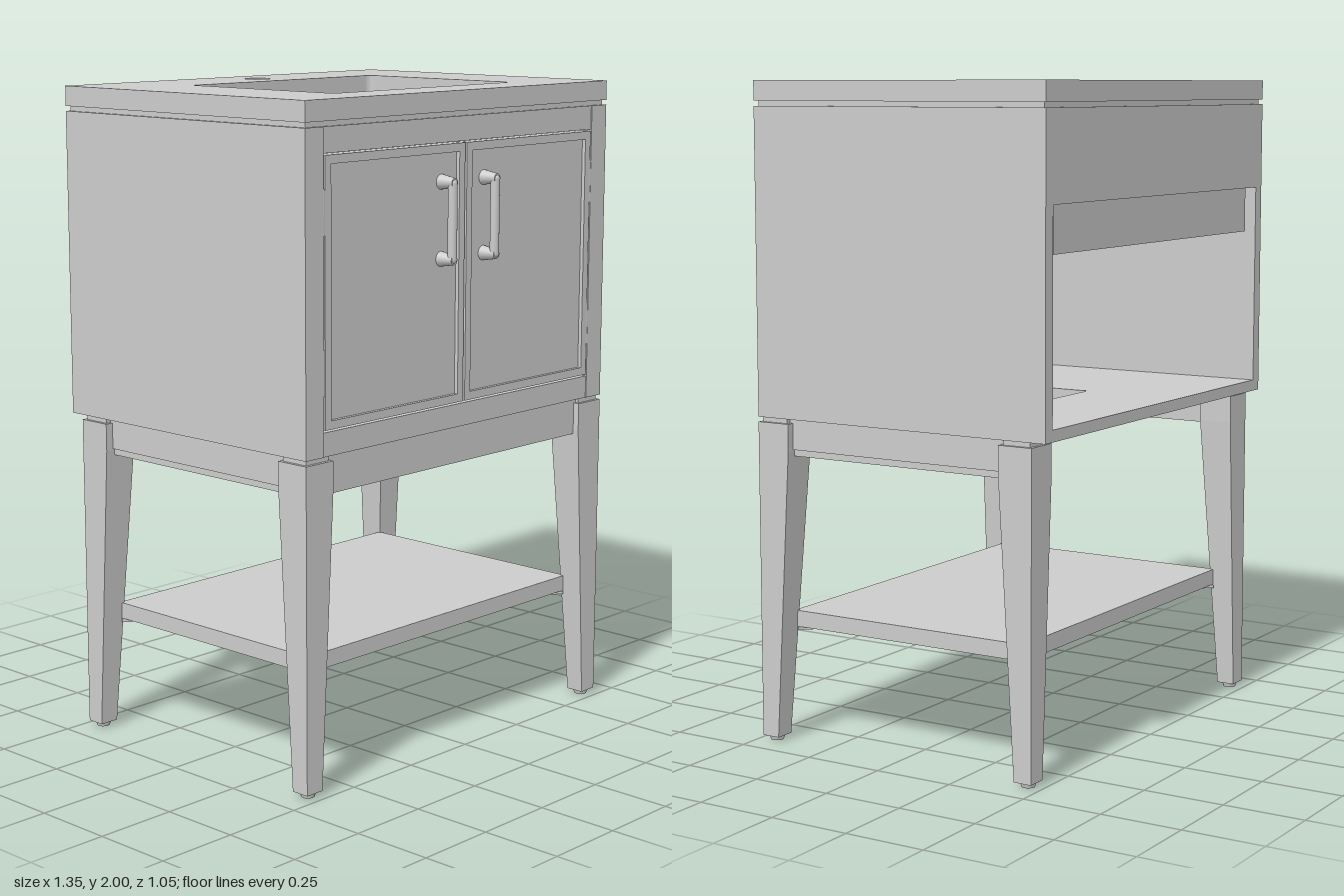
import * as THREE from 'three';
import { toCreasedNormals } from 'three/addons/utils/BufferGeometryUtils.js';

const grey = new THREE.MeshStandardMaterial({ color: 0xcccccc });

export function createModel() {
  const model = new THREE.Group();

  const add = (name, geometry, parent = model) => {
    const mesh = new THREE.Mesh(geometry, grey);
    mesh.name = name;
    parent.add(mesh);
    return mesh;
  };
  // Box given by its limits on each axis
  const box = (name, x0, x1, y0, y1, z0, z1, parent) => {
    const mesh = add(name, new THREE.BoxGeometry(x1 - x0, y1 - y0, z1 - z0), parent);
    mesh.position.set((x0 + x1) / 2, (y0 + y1) / 2, (z0 + z1) / 2);
    return mesh;
  };
  const rect = (x0, x1, y0, y1, Type = THREE.Path) => new Type([
    [x0, y0], [x1, y0], [x1, y1], [x0, y1], [x0, y0],
  ].map(([x, y]) => new THREE.Vector2(x, y)));
  // Horizontal board with openings; openings use (x, -z)
  const slab = (name, x, z0, z1, y0, y1, holes) => {
    const shape = rect(-x, x, -z1, -z0, THREE.Shape);
    shape.holes.push(...holes);
    const g = new THREE.ExtrudeGeometry(shape, { depth: y1 - y0, bevelEnabled: false, curveSegments: 24 });
    g.rotateX(-Math.PI / 2).translate(0, y0, 0);
    return add(name, g);
  };

  // Rounded rectangle ring around the basin centre
  const cz = 0.025, arc = 8;
  const ringPoints = (hx, hz, r) => {
    const pts = [];
    for (let q = 0; q < 4; q++) {
      const sx = q === 0 || q === 3 ? 1 : -1, sz = q < 2 ? 1 : -1;
      for (let i = 0; i <= arc; i++) {
        const a = (q + i / arc) * Math.PI / 2;
        pts.push([sx * (hx - r) + r * Math.cos(a), cz + sz * (hz - r) + r * Math.sin(a)]);
      }
    }
    return pts;
  };

  // Countertop with basin and tap openings
  const opening = () => new THREE.Path(ringPoints(0.395, 0.295, 0.02).map(([x, z]) => new THREE.Vector2(x, -z)));
  const tap = () => new THREE.Path().absarc(0, 0.39, 0.04, 0, Math.PI * 2);
  slab('countertop', 0.675, -0.525, 0.48, 1.94, 2, [opening(), tap()]);
  slab('countertopBase', 0.665, -0.515, 0.47, 1.925, 1.94, [opening(), tap()]);

  // Basin: inner wall down to the drain, then outer wall back up [halfX, halfZ, corner, y]
  const rings = [
    [0.395, 0.295, 0.02, 1.94], [0.385, 0.285, 0.03, 1.83], [0.378, 0.278, 0.04, 1.805],
    [0.365, 0.265, 0.045, 1.788], [0.34, 0.24, 0.05, 1.78], [0.065, 0.065, 0.065, 1.765],
    [0.06, 0.06, 0.06, 1.745], [0.07, 0.07, 0.07, 1.735], [0.36, 0.26, 0.05, 1.745],
    [0.4, 0.3, 0.05, 1.78], [0.425, 0.325, 0.04, 1.925],
  ];
  const pos = [], index = [], n = 4 * (arc + 1);
  rings.forEach(([hx, hz, r, y], k) => {
    ringPoints(hx, hz, r).forEach(([x, z]) => pos.push(x, y, z));
    if (k === rings.length - 1) return;
    for (let j = 0; j < n; j++) {
      const a = k * n + j, b = k * n + (j + 1) % n;
      index.push(a, a + n, b, b, a + n, b + n);
    }
  });
  const bowl = new THREE.BufferGeometry();
  bowl.setAttribute('position', new THREE.Float32BufferAttribute(pos, 3));
  bowl.setIndex(index);
  add('basin', toCreasedNormals(bowl, 0.7));

  // Overflow ring on the front basin wall
  add('overflowRing', new THREE.TorusGeometry(0.022, 0.005, 8, 24)).position.set(0, 1.89, 0.314);

  // Drain: stopper, flange and stepped tail pipe
  const profile = [[0, 1.762], [0.04, 1.762], [0.044, 1.756], [0.044, 1.75], [0.06, 1.752], [0.062, 1.735],
    [0.09, 1.735], [0.085, 1.67], [0.065, 1.65], [0.065, 1.62], [0.08, 1.61], [0.08, 1.575],
    [0.06, 1.56], [0.06, 1.53], [0.038, 1.52], [0.038, 1.16], [0, 1.16]];
  const drain = new THREE.LatheGeometry(profile.map(([r, y]) => new THREE.Vector2(r, y)).reverse(), 32);
  add('drain', toCreasedNormals(drain, 0.5)).position.z = cz;

  // Cabinet carcass, open at the back
  for (const s of [-1, 1]) {
    box('sidePanel', Math.min(s * 0.635, s * 0.675), Math.max(s * 0.635, s * 0.675), 1, 1.925, -0.525, 0.44);
    box('frontStile', Math.min(s * 0.602, s * 0.675), Math.max(s * 0.602, s * 0.675), 1, 1.925, 0.44, 0.48);
  }
  box('topRail', -0.602, 0.602, 1.852, 1.925, 0.44, 0.477);
  box('bottomRail', -0.602, 0.602, 1, 1.07, 0.44, 0.477);
  slab('cabinetFloor', 0.635, -0.525, 0.44, 1, 1.035, [rect(-0.12, 0.12, -0.11, 0.2)]);
  box('backPanel', -0.635, 0.635, 1.66, 1.925, -0.525, -0.505);
  box('backRail', -0.6, 0.6, 1.52, 1.75, -0.505, -0.465);

  // Doors with framed panels, hinges and handles
  for (const s of [-1, 1]) {
    const door = new THREE.Group();
    door.name = s > 0 ? 'leftDoor' : 'rightDoor';
    model.add(door);
    const x0 = s > 0 ? 0.004 : -0.597, x1 = s > 0 ? 0.597 : -0.004, y0 = 1.076, y1 = 1.847, w = 0.025;
    const frame = rect(x0, x1, y0, y1, THREE.Shape);
    frame.holes.push(rect(x0 + w, x1 - w, y0 + w, y1 - w));
    add('doorFrame', new THREE.ExtrudeGeometry(frame, { depth: 0.04, bevelEnabled: false }), door).position.z = 0.44;
    box('doorPanel', x0 + w, x1 - w, y0 + w, y1 - w, 0.442, 0.468, door);
    for (const y of [1.24, 1.69]) {
      add('hinge', new THREE.CylinderGeometry(0.006, 0.006, 0.13, 12), door).position.set(s * 0.6, y, 0.474);
    }
    // Handle: bar, two posts and flared bases
    const hx = s * 0.096;
    add('handleBar', new THREE.CapsuleGeometry(0.014, 0.222, 6, 16), door).position.set(hx, 1.625, 0.512);
    for (const y of [1.512, 1.738]) {
      const post = add('handlePost', new THREE.CylinderGeometry(0.014, 0.023, 0.054, 20), door);
      post.rotation.x = Math.PI / 2;
      post.position.set(hx, y, 0.493);
    }
  }

  // Tapered legs: outer faces upright, inner faces slope below the apron
  for (const sx of [-1, 1]) for (const sz of [-1, 1]) {
    const leg = new THREE.Group();
    leg.name = (sz > 0 ? 'front' : 'back') + (sx > 0 ? 'Left' : 'Right') + 'Leg';
    model.add(leg);
    const g = new THREE.BoxGeometry(2, 2, 2, 1, 2, 1), p = g.attributes.position;
    for (let i = 0; i < p.count; i++) {
      const level = p.getY(i), low = level < -0.5;
      const inX = p.getX(i) * sx < 0, inZ = p.getZ(i) * sz < 0;
      p.setXYZ(i,
        sx * (inX ? (low ? 0.612 : 0.565) : 0.675),
        low ? 0.015 : level > 0.5 ? 0.985 : 0.9,
        sz * (inZ ? (low ? 0.422 : 0.37) : 0.48));
    }
    add('legPost', toCreasedNormals(g, 0.02), leg);
    const spacer = add('legSpacer', new THREE.BoxGeometry(0.09, 0.015, 0.09), leg);
    spacer.position.set(sx * 0.62, 0.9925, sz * 0.425);
    const foot = add('footPad', new THREE.CylinderGeometry(0.024, 0.02, 0.015, 16), leg);
    foot.position.set(sx * 0.643, 0.0075, sz * 0.451);
    // Small bracket fixing the shelf corner to the leg
    const bracket = add('shelfBracket', new THREE.BoxGeometry(0.1, 0.01, 0.03), leg);
    bracket.position.set(sx * 0.56, 0.345, sz * 0.37);
    bracket.rotation.y = -sx * sz * Math.PI / 4;
  }

  // Aprons under the cabinet, with inner fixing strips
  box('frontApron', -0.58, 0.58, 0.885, 1, 0.43, 0.46);
  box('frontFixing', -0.1, 0.1, 0.94, 0.97, 0.415, 0.43);
  for (const s of [-1, 1]) {
    const side = (name, a, b, ...rest) => box(name, Math.min(s * a, s * b), Math.max(s * a, s * b), ...rest);
    side('sideApron', 0.62, 0.65, 0.905, 1, -0.39, 0.39);
    side('sideApronLip', 0.62, 0.643, 0.885, 0.905, -0.39, 0.39);
    side('sideFixing', 0.605, 0.62, 0.93, 0.965, -0.15, 0.15);
  }

  // Lower shelf
  box('shelf', -0.6, 0.6, 0.35, 0.4, -0.41, 0.41);

  return model;
}
